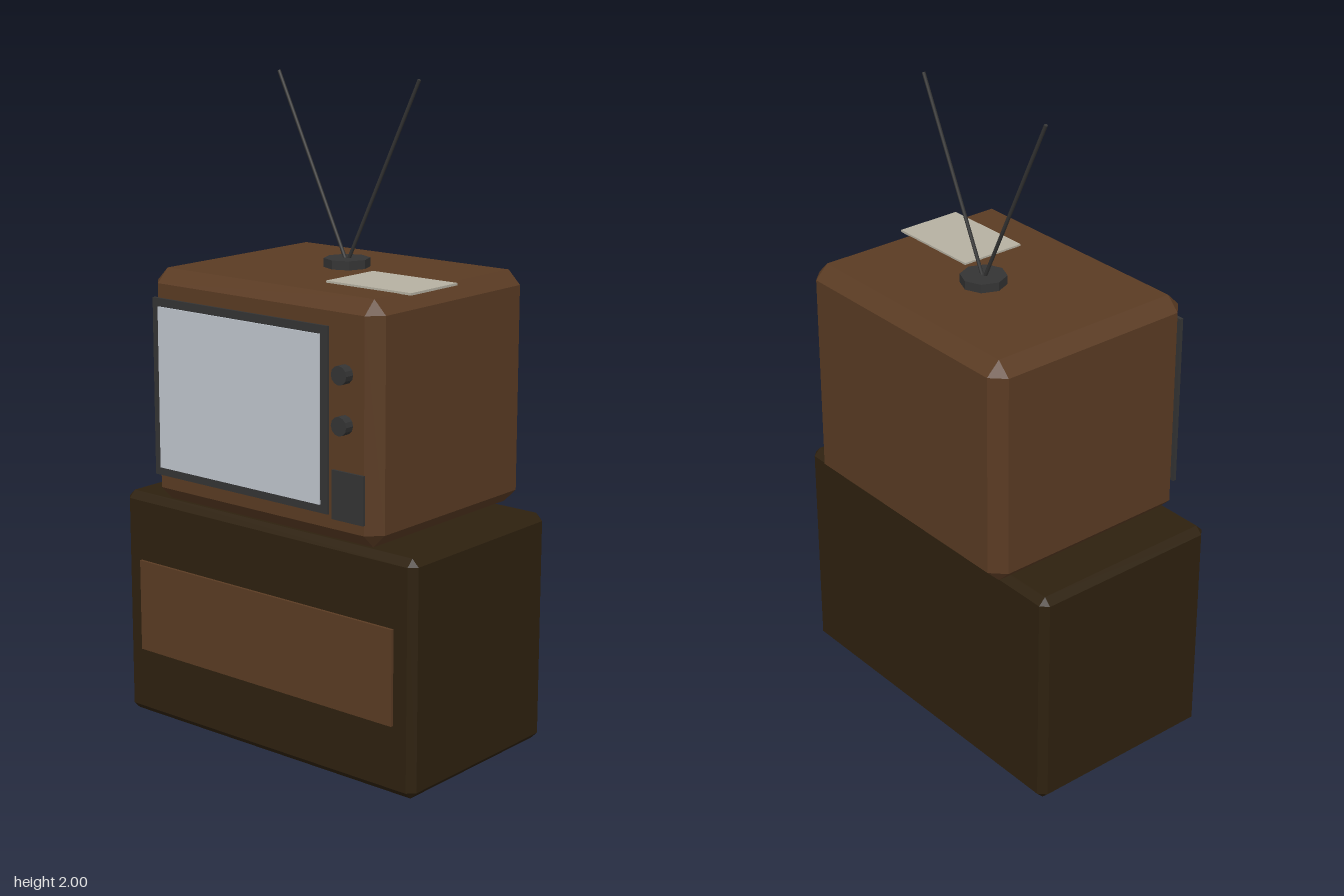
import * as THREE from 'three';
import { ConvexGeometry } from 'three/addons/geometries/ConvexGeometry.js';

function material(name, color) {
  const m = new THREE.MeshStandardMaterial({ color });
  m.name = name;
  return m;
}

// Box with every edge and corner cut flat by c, given by its minimum and maximum corners
function chamferedBox(min, max, c) {
  const centre = min.map((v, i) => (v + max[i]) / 2);
  const half = min.map((v, i) => (max[i] - v) / 2);
  const points = [];
  for (const sx of [-1, 1]) for (const sy of [-1, 1]) for (const sz of [-1, 1]) {
    const s = [sx, sy, sz];
    for (let face = 0; face < 3; face++) {
      points.push(new THREE.Vector3(...s.map((sign, i) =>
        centre[i] + sign * (half[i] - (i === face ? 0 : c)))));
    }
  }
  return new ConvexGeometry(points);
}

// Plain box from minimum and maximum corners
function boxBetween(min, max) {
  const size = min.map((v, i) => max[i] - v);
  return new THREE.BoxGeometry(...size)
    .translate(...min.map((v, i) => (v + max[i]) / 2));
}

export function createModel() {
  const wood = material('walnut wood', 0x5a3b23);
  const darkWood = material('dark wood', 0x2e210f);
  const plastic = material('charcoal plastic', 0x343434);
  const glass = material('screen glass', 0xc0c6ce);
  const paper = material('paper', 0xb6b1a2);

  const model = new THREE.Group();
  model.name = 'televisionOnStand';
  const add = (name, geometry, mat) => {
    const mesh = new THREE.Mesh(geometry, mat);
    mesh.name = name;
    model.add(mesh);
    return mesh;
  };

  // Stand with its front panel
  add('stand', chamferedBox([-0.57, 0, -0.315], [0.57, 0.717, 0.325], 0.022), darkWood);
  add('standPanel', boxBetween([-0.5, 0.215, 0.32], [0.5, 0.505, 0.334]), wood);

  // Television cabinet
  add('cabinet', chamferedBox([-0.44, 0.717, -0.38], [0.44, 1.43, 0.334], 0.042), wood);

  // Screen surround, glass and speaker
  add('screenFrame', boxBetween([-0.415, 0.8, 0.33], [0.27, 1.345, 0.341]), plastic);
  add('screen', boxBetween([-0.39, 0.825, 0.338], [0.243, 1.32, 0.346]), glass);
  add('speaker', boxBetween([0.285, 0.79, 0.33], [0.4, 0.935, 0.341]), plastic);

  // Control knobs on short shafts
  for (const [name, y] of [['upperKnob', 1.22], ['lowerKnob', 1.075]]) {
    const knob = new THREE.CylinderGeometry(0.028, 0.028, 0.03, 12).toNonIndexed();
    knob.computeVertexNormals();
    add(name, knob.rotateX(Math.PI / 2).translate(0.34, y, 0.361), plastic);
    add(name + 'Shaft', new THREE.CylinderGeometry(0.008, 0.008, 0.03, 8)
      .rotateX(Math.PI / 2).translate(0.34, y, 0.342), plastic);
  }

  // Octagonal antenna base
  const base = new THREE.CylinderGeometry(0.07, 0.07, 0.03, 8).toNonIndexed();
  base.computeVertexNormals();
  add('antennaBase', base.translate(0, 1.442, -0.066), plastic);

  // Mirrored antenna rods
  const up = new THREE.Vector3(0, 1, 0);
  for (const side of [-1, 1]) {
    const start = new THREE.Vector3(0, 1.44, -0.066);
    const end = new THREE.Vector3(side * 0.268, 1.998, -0.066);
    const direction = end.clone().sub(start);
    const rod = add(side > 0 ? 'leftAntenna' : 'rightAntenna',
      new THREE.CylinderGeometry(0.0055, 0.0055, direction.length(), 8), plastic);
    rod.position.copy(start).add(end).multiplyScalar(0.5);
    rod.quaternion.setFromUnitVectors(up, direction.normalize());
  }

  // Sheet of paper lying on top
  add('paperSheet', boxBetween([0.129, 1.429, -0.031], [0.44, 1.436, 0.182]), paper);

  return model;
}
